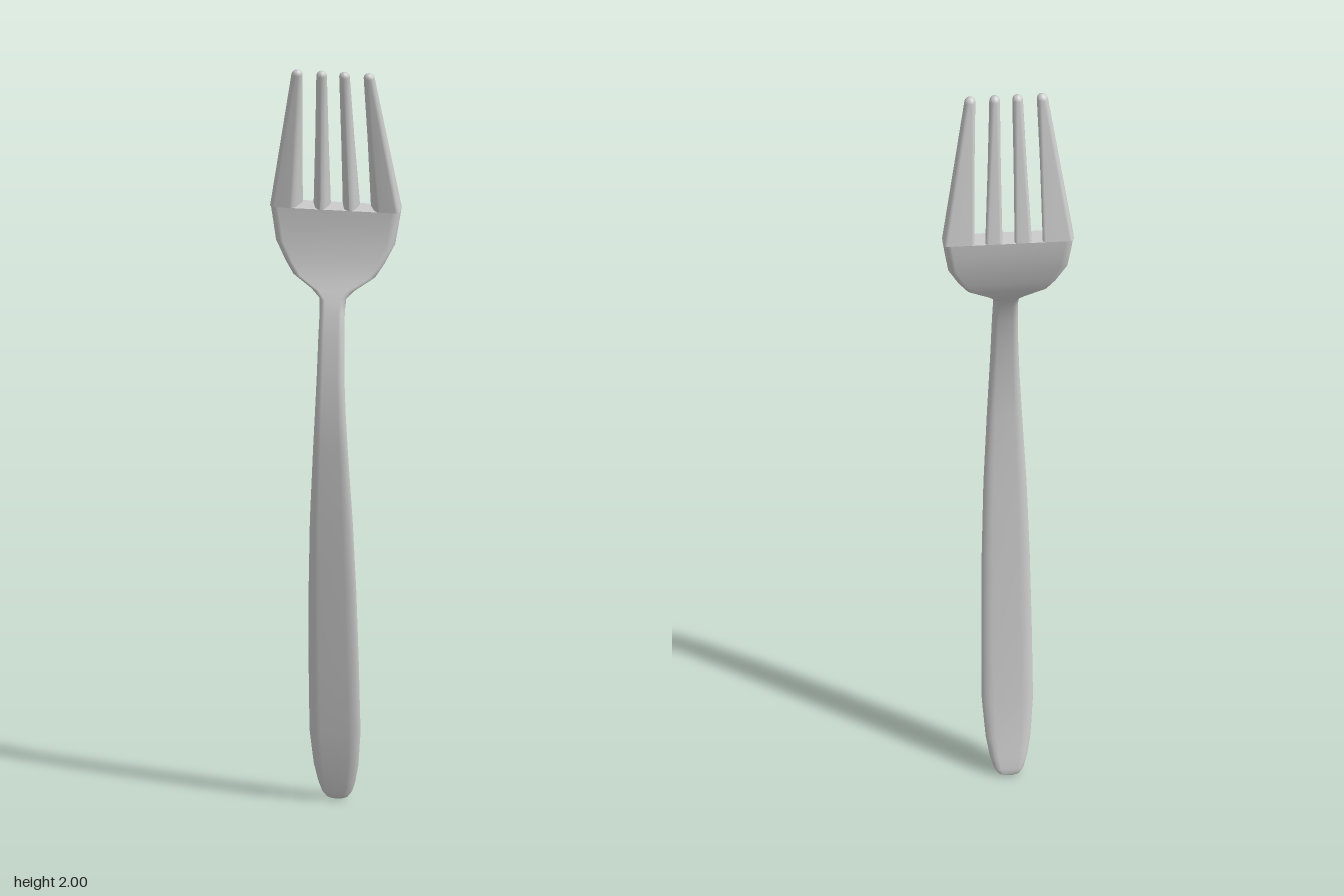
import * as THREE from 'three';

const material = new THREE.MeshStandardMaterial({ color: 0xcccccc, roughness: 0.6 });
const STEPS = 5; // points per rounded corner

// Rounded cross-section at height y; inL / inR pull in the front (+z) corners
function ring({ y, x0, x1, z0, z1, rx, rz, inL = 0, inR = 0 }) {
  const points = [];
  const corners = [[x1, z1, -1, -1], [x0, z1, 1, -1], [x0, z0, 1, 1], [x1, z0, -1, 1]];
  corners.forEach(([cx, cz, sx, sz], q) => {
    for (let k = 0; k < STEPS; k++) {
      const a = (q + k / (STEPS - 1)) * Math.PI / 2;
      const z = cz + sz * rz + rz * Math.sin(a);
      const x = cx + sx * rx + rx * Math.cos(a);
      const f = (z - z0) / (z1 - z0);
      points.push([x + f * (sx > 0 ? inL : -inR), y, z]);
    }
  });
  return points;
}

// Skin through a stack of rings, with separate flat end caps
function loft(name, sections) {
  const rings = sections.map(ring);
  const n = rings[0].length;
  const positions = rings.flat();
  const index = [];
  for (let j = 0; j < rings.length - 1; j++) {
    for (let i = 0; i < n; i++) {
      const a = j * n + i, b = j * n + (i + 1) % n;
      index.push(a, a + n, b, b, a + n, b + n);
    }
  }
  [[rings[0], false], [rings[rings.length - 1], true]].forEach(([r, top]) => {
    const start = positions.length;
    positions.push(...r);
    const mid = [0, 1, 2].map(c => r.reduce((s, p) => s + p[c], 0) / n);
    positions.push(mid);
    for (let i = 0; i < n; i++) {
      const a = start + i, b = start + (i + 1) % n;
      if (top) index.push(start + n, b, a);
      else index.push(start + n, a, b);
    }
  });
  const geometry = new THREE.BufferGeometry();
  geometry.setAttribute('position', new THREE.Float32BufferAttribute(positions.flat(), 3));
  geometry.setIndex(index);
  geometry.computeVertexNormals();
  const mesh = new THREE.Mesh(geometry, material);
  mesh.name = name;
  return mesh;
}

// Tapering tine with a rounded tip; base and tip are [x0, x1]
function tine(name, base, tip, inL, inR) {
  const mix = THREE.MathUtils.lerp;
  const at = (t, shrink) => {
    const x0 = mix(base[0], tip[0], t), x1 = mix(base[1], tip[1], t);
    const z0 = mix(-0.07, 0.002, t), z1 = mix(-0.02, 0.026, t);
    const cx = (x0 + x1) / 2, cz = (z0 + z1) / 2;
    const hx = (x1 - x0) / 2 * shrink, hz = (z1 - z0) / 2 * shrink;
    return {
      y: mix(1.61, 2, t), x0: cx - hx, x1: cx + hx, z0: cz - hz, z1: cz + hz,
      rx: Math.min(hx, 0.011), rz: hz * mix(0.5, 1, t),
      inL: inL * (1 - t), inR: inR * (1 - t),
    };
  };
  return loft(name, [at(0, 1), at(0.5, 1), at(0.97, 1), at(0.985, 0.88), at(0.995, 0.62), at(1, 0.2)]);
}

export function createModel() {
  const fork = new THREE.Group();
  fork.name = 'fork';

  // Handle, neck and bowl: height, half width, back z, front z
  const profile = [
    [0, 0.015, -0.077, -0.063],
    [0.006, 0.027, -0.082, -0.056],
    [0.02, 0.037, -0.081, -0.051],
    [0.05, 0.046, -0.075, -0.043],
    [0.1, 0.055, -0.062, -0.031],
    [0.2, 0.063, -0.042, -0.011],
    [0.4, 0.062, -0.013, 0.015],
    [0.6, 0.059, 0.011, 0.038],
    [0.8, 0.053, 0.034, 0.061],
    [1.0, 0.043, 0.052, 0.078],
    [1.1, 0.038, 0.053, 0.082],
    [1.2, 0.034, 0.048, 0.077],
    [1.3, 0.032, 0.032, 0.062],
    [1.36, 0.031, 0.012, 0.045],
    [1.39, 0.033, -0.004, 0.032],
    [1.41, 0.055, -0.018, 0.022],
    [1.44, 0.102, -0.035, 0.007],
    [1.47, 0.122, -0.046, -0.003],
    [1.52, 0.147, -0.06, -0.014],
    [1.57, 0.155, -0.068, -0.019],
    [1.61, 0.161, -0.07, -0.02],
  ];
  fork.add(loft('handleAndBowl', profile.map(([y, w, z0, z1]) => ({
    y, x0: -w, x1: w, z0, z1,
    rx: y < 1.4 ? w * 0.45 : 0.02,
    rz: (z1 - z0) * (y < 1.5 ? 0.5 : 0.42),
  }))));

  // Four tines, mirrored about the centre
  fork.add(tine('outerTineLeft', [0.08, 0.161], [0.075, 0.101], 0.02, 0));
  fork.add(tine('outerTineRight', [-0.161, -0.08], [-0.101, -0.075], 0, 0.02));
  fork.add(tine('innerTineLeft', [0.012, 0.06], [0.015, 0.041], 0.013, 0.013));
  fork.add(tine('innerTineRight', [-0.06, -0.012], [-0.041, -0.015], 0.013, 0.013));

  return fork;
}
